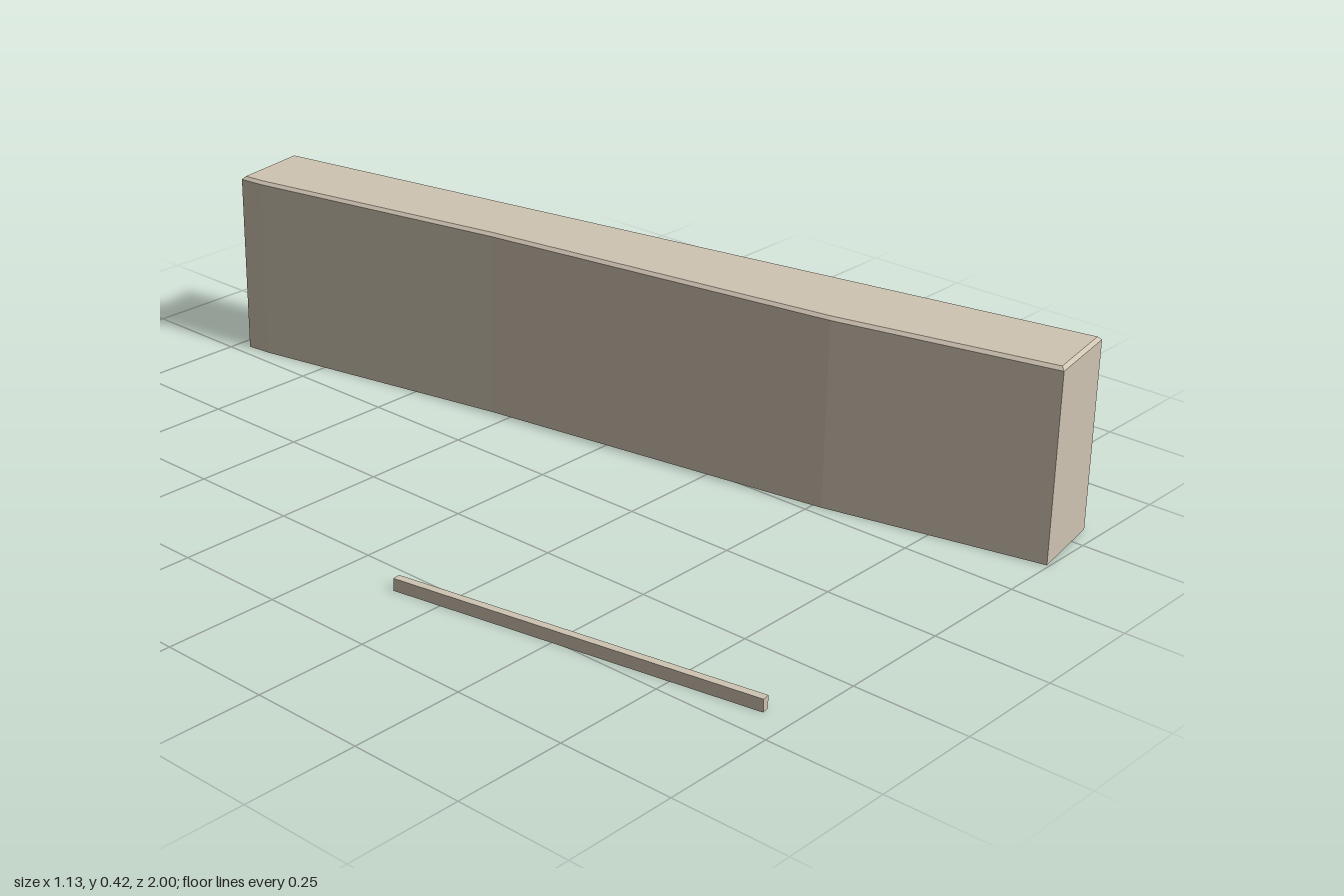
import * as THREE from 'three';

// Move each corner of an [x, z] outline inwards by d, along its mitre.
function inset(outline, d) {
  const n = outline.length;
  const normal = (a, b) => new THREE.Vector2(b[1] - a[1], a[0] - b[0]).normalize();
  return outline.map((p, i) => {
    const n1 = normal(outline[(i + n - 1) % n], p);
    const n2 = normal(p, outline[(i + 1) % n]);
    const k = d / (1 + n1.dot(n2));
    return [p[0] - (n1.x + n2.x) * k, p[1] - (n1.y + n2.y) * k];
  });
}

// Shell with an open base: stacked rings of one outline, closed by a fan from its first corner.
function shellGeometry(rings) {
  const pos = [];
  const tri = (...corners) => corners.forEach((c) => pos.push(...c));
  const loops = rings.map(({ outline, y }) => outline.map(([x, z]) => [x, y, z]));
  const n = loops[0].length;
  for (let r = 0; r < loops.length - 1; r++) {
    const lo = loops[r], hi = loops[r + 1];
    for (let i = 0; i < n; i++) {
      const j = (i + 1) % n;
      tri(lo[i], hi[i], hi[j]);
      tri(lo[i], hi[j], lo[j]);
    }
  }
  const top = loops[loops.length - 1];
  for (let i = 1; i < n - 1; i++) tri(top[0], top[i + 1], top[i]);
  const geometry = new THREE.BufferGeometry();
  geometry.setAttribute('position', new THREE.Float32BufferAttribute(pos, 3));
  geometry.computeVertexNormals();
  return geometry;
}

export function createModel() {
  const group = new THREE.Group();
  group.name = 'walls';

  const stone = new THREE.MeshStandardMaterial({ color: 0xcfc4b2, side: THREE.DoubleSide });
  stone.name = 'pale stone';

  const add = (name, rings) => {
    const mesh = new THREE.Mesh(shellGeometry(rings), stone);
    mesh.name = name;
    group.add(mesh);
  };

  // Long block: straight on its left, gently bent on its right, with a small chamfer at the top
  const block = [
    [0.563, 0.963], [0.38, 0.995], [0.278, 0.52], [0.155, -0.3],
    [0.037, -0.91], [0.031, -0.968], [0.217, -1.0],
  ];
  add('longBlock', [
    { outline: block, y: 0 },
    { outline: block, y: 0.413 },
    { outline: inset(block, 0.007), y: 0.42 },
  ]);

  // Low, thin kerb beside the block
  const kerb = [[-0.415, 0.937], [-0.432, 0.94], [-0.567, 0.143], [-0.55, 0.14]];
  add('kerb', [{ outline: kerb, y: 0 }, { outline: kerb, y: 0.027 }]);

  return group;
}
